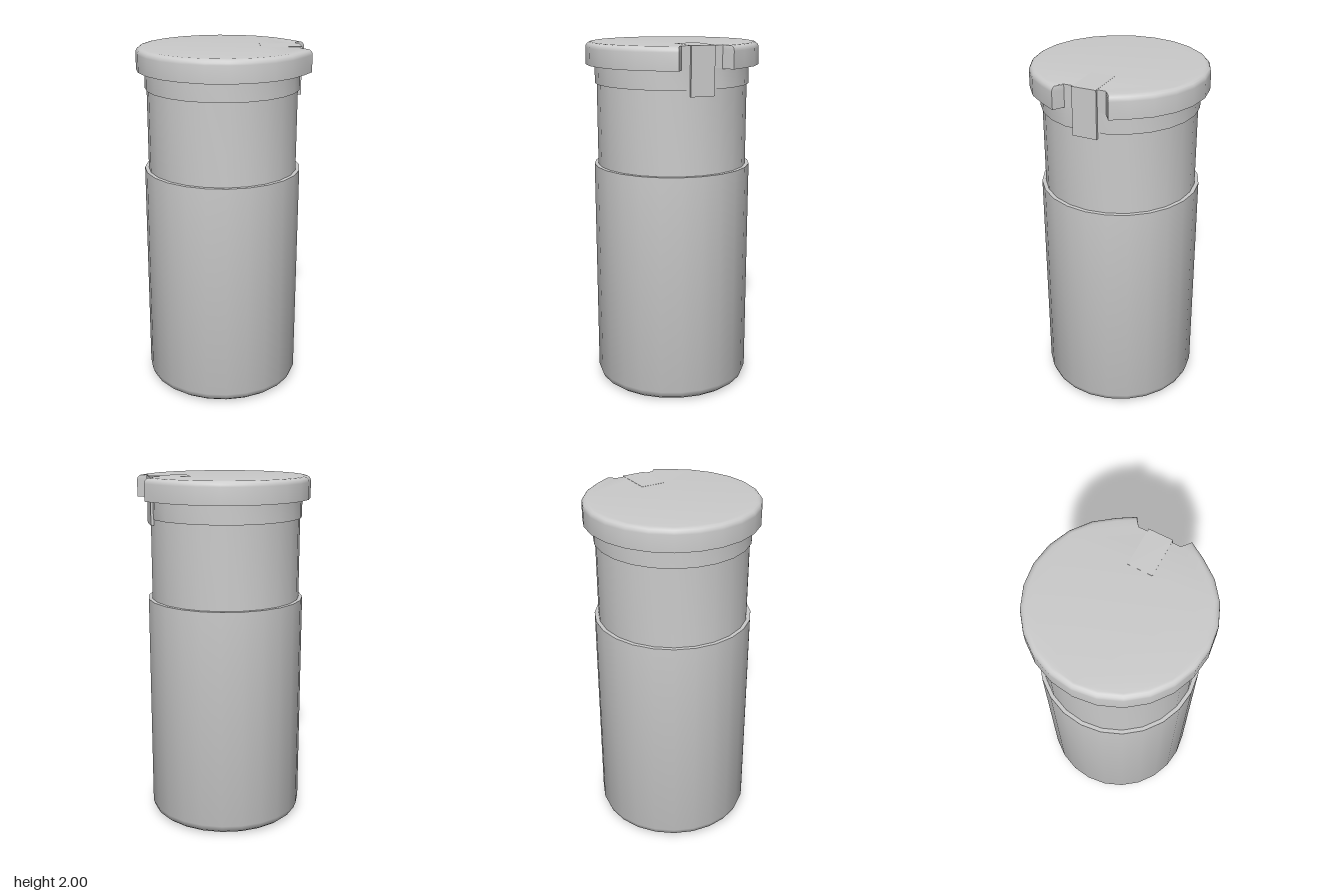
import * as THREE from 'three';
import { toCreasedNormals } from 'three/addons/utils/BufferGeometryUtils.js';

const SIDES = 24;
const material = new THREE.MeshStandardMaterial({ color: 0xcccccc });

function addPart(group, name, geometry) {
  const mesh = new THREE.Mesh(geometry, material);
  mesh.name = name;
  group.add(mesh);
  return mesh;
}

// Turned part from [radius, height] pairs listed bottom to top
function turned(profile) {
  const points = profile.map(([r, y]) => new THREE.Vector2(r, y));
  return new THREE.LatheGeometry(points, SIDES);
}

// Lid: notched disc whose outer rim is rounded over at the top
function lidGeometry() {
  const radius = 0.485, offset = 0.005, bottom = 1.875, top = 1.999, round = 0.03;
  const outline = [[0.42, 0.117], [0.478, 0.155]];
  for (let i = 2; i <= SIDES - 2; i++) {
    const a = (i / SIDES) * Math.PI * 2;
    outline.push([offset + radius * Math.cos(a), radius * Math.sin(a)]);
  }
  outline.push([0.478, -0.155], [0.42, -0.117]);
  const shape = new THREE.Shape(outline.map(([x, y]) => new THREE.Vector2(x, y)));
  const steps = 5;
  const geometry = new THREE.ExtrudeGeometry(shape, { depth: 1, steps, bevelEnabled: false });
  geometry.rotateX(-Math.PI / 2);

  // Respace the levels: one straight wall, then a quarter round
  const p = geometry.attributes.position;
  for (let i = 0; i < p.count; i++) {
    const level = Math.round(p.getY(i) * steps);
    if (level === 0) {
      p.setY(i, bottom);
      continue;
    }
    const a = ((level - 1) / (steps - 1)) * Math.PI / 2;
    p.setY(i, top - round + round * Math.sin(a));
    const x = p.getX(i) - offset, z = p.getZ(i);
    const r = Math.hypot(x, z);
    if (r > 0.46) {
      const scale = (r - round * (1 - Math.cos(a))) / r;
      p.setX(i, offset + x * scale);
      p.setZ(i, z * scale);
    }
  }
  return toCreasedNormals(geometry, 0.6);
}

export function createModel() {
  const group = new THREE.Group();
  group.name = 'flask';

  // Main body with rounded foot and flat shoulder
  addPart(group, 'body', toCreasedNormals(turned([
    [0, 0], [0.39, 0], [0.415, 0.006], [0.435, 0.022], [0.447, 0.055],
    [0.447, 1.31], [0.42, 1.31],
  ]), 0.65));

  // Narrower cup above the shoulder
  addPart(group, 'neck', toCreasedNormals(turned([
    [0.425, 1.3], [0.425, 1.77], [0.3, 1.77],
  ]), 0.6));

  // Collar under the lid, flattened behind the clip
  const collar = turned([[0.4, 1.77], [0.435, 1.77], [0.435, 1.88]]);
  const p = collar.attributes.position;
  for (let i = 0; i < p.count; i++) p.setX(i, Math.min(p.getX(i), 0.42));
  addPart(group, 'collar', toCreasedNormals(collar, 0.6));

  addPart(group, 'lid', lidGeometry());

  // Clip: flush tab on the lid that bends down over the collar
  const clip = new THREE.Shape();
  [[0.21, 2], [0.21, 1.97], [0.405, 1.97], [0.405, 1.735], [0.434, 1.735], [0.434, 2]]
    .forEach(([x, y], i) => (i ? clip.lineTo(x, y) : clip.moveTo(x, y)));
  const clipGeometry = new THREE.ExtrudeGeometry(clip, { depth: 0.136, bevelEnabled: false });
  clipGeometry.translate(0, 0, -0.068);
  addPart(group, 'clip', clipGeometry);

  return group;
}
